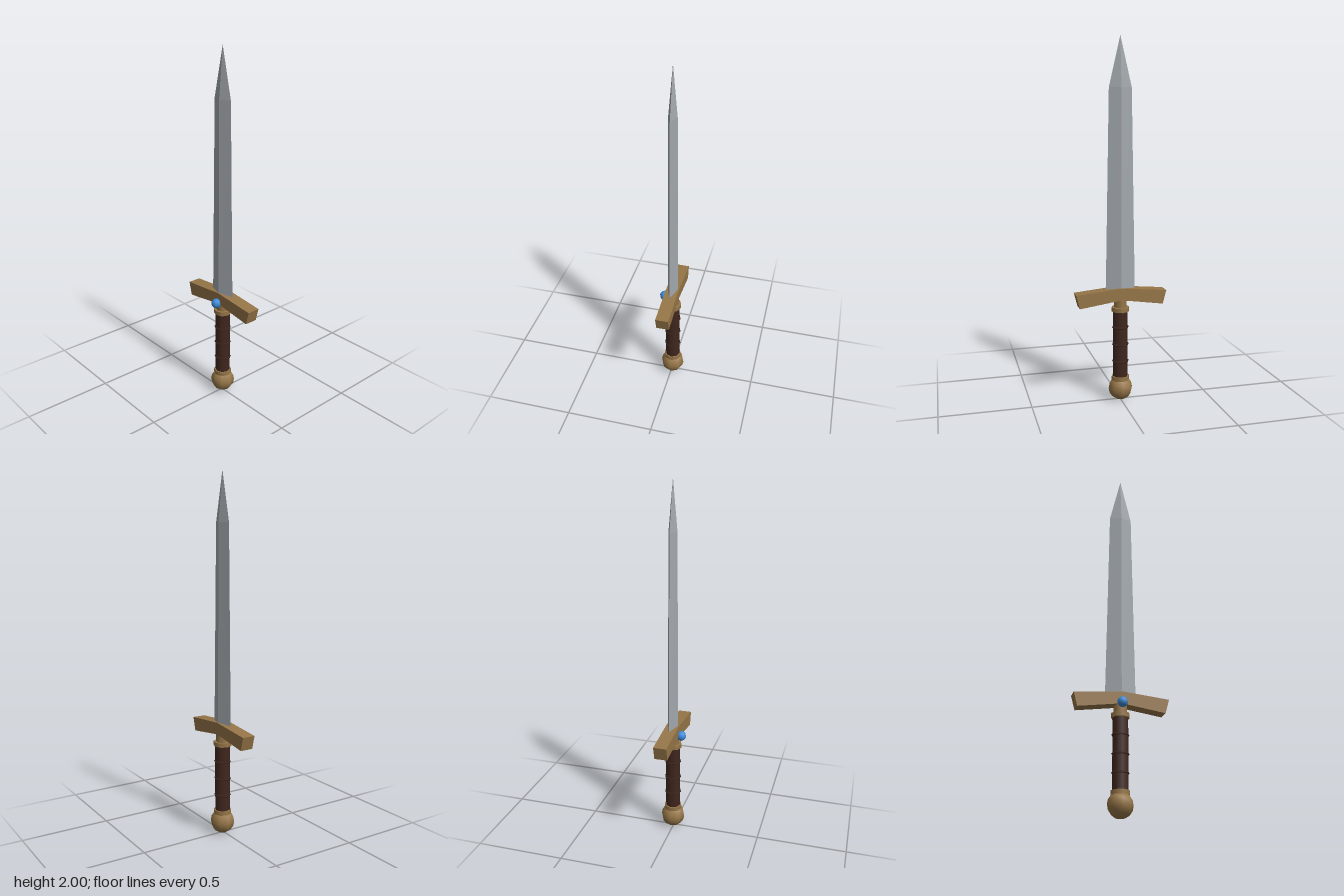
import * as THREE from 'three';

const mat = (color, extra = {}) => new THREE.MeshStandardMaterial({ color, ...extra });

export function createModel() {
  const sword = new THREE.Group();
  sword.name = 'sword';
  const axisZ = -0.005;
  const brass = mat(0x967648);
  const brassFlat = mat(0x967648, { flatShading: true });
  const leather = mat(0x40271e);
  const steel = mat(0xa2a8ad, { flatShading: true });
  const blue = mat(0x3d8ad8);

  const add = (name, geometry, material, y = 0, z = axisZ) => {
    const mesh = new THREE.Mesh(geometry, material);
    mesh.name = name;
    mesh.position.set(0, y, z);
    sword.add(mesh);
    return mesh;
  };
  // eight-sided round part between two heights
  const drum = (name, rTop, rBottom, y0, y1, material) =>
    add(name, new THREE.CylinderGeometry(rTop, rBottom, y1 - y0, 8), material, (y0 + y1) / 2);

  // handle: pommel, grip with binding rings, collars and neck
  add('pommel', new THREE.SphereGeometry(0.068, 8, 8), brass, 0.068);
  drum('grip', 0.042, 0.042, 0.11, 0.53, leather);
  for (const y of [0.225, 0.322, 0.42]) {
    const ring = add('gripRing', new THREE.TorusGeometry(0.042, 0.006, 4, 8), leather, y);
    ring.rotation.x = Math.PI / 2;
  }
  drum('lowerCollar', 0.05, 0.05, 0.115, 0.138, brass);
  drum('upperCollar', 0.05, 0.05, 0.511, 0.535, brass);
  drum('neck', 0.036, 0.036, 0.53, 0.6, brass);

  // crossguard: drooping arms with slanted ends
  const outline = new THREE.Shape([
    [0, 0.646], [-0.255, 0.622], [-0.235, 0.546],
    [0, 0.58], [0.235, 0.546], [0.255, 0.622],
  ].map(([x, y]) => new THREE.Vector2(x, y)));
  const guard = new THREE.ExtrudeGeometry(outline, { depth: 0.073, bevelEnabled: false });
  guard.translate(0, 0, -0.0365);
  add('crossguard', guard, brassFlat);

  // gem on the front of the guard
  add('gem', new THREE.SphereGeometry(0.028, 8, 8), blue, 0.585, 0.043);

  // blade: diamond sections [height, half width, half depth] closing to a point
  const sections = [[0.615, 0.083, 0.03], [1.73, 0.063, 0.024], [2, 0, 0]];
  const positions = [];
  const index = [];
  sections.forEach(([y, w, d], i) => {
    positions.push(w, y, 0, 0, y, d, -w, y, 0, 0, y, -d);
    if (i === 0) return;
    for (let k = 0; k < 4; k++) {
      const a = (i - 1) * 4 + k, b = (i - 1) * 4 + (k + 1) % 4;
      index.push(a, a + 4, b);
      if (w > 0) index.push(b, a + 4, b + 4);
    }
  });
  index.push(0, 1, 2, 0, 2, 3);
  // corners run clockwise from above, so reverse each side face outward
  const blade = new THREE.BufferGeometry();
  blade.setAttribute('position', new THREE.Float32BufferAttribute(positions, 3));
  blade.setIndex(index);
  blade.computeVertexNormals();
  add('blade', blade, steel);

  return sword;
}
